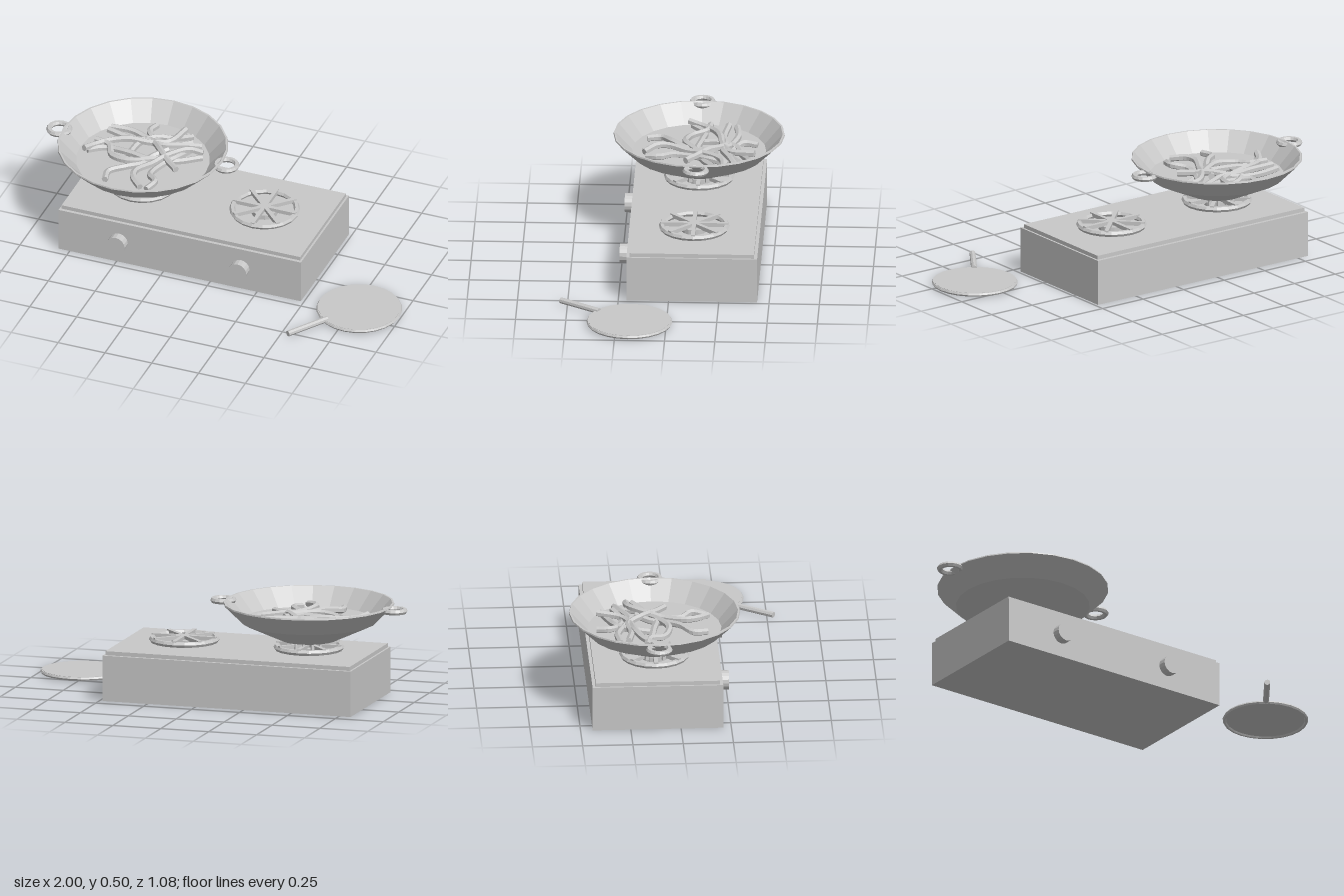
import * as THREE from 'three';

export function createModel() {
  const model = new THREE.Group();
  const grey = new THREE.MeshStandardMaterial({ color: 0xc8c8c8, flatShading: true });
  grey.name = 'plain grey';

  const add = (parent, name, geometry, x = 0, y = 0, z = 0) => {
    const mesh = new THREE.Mesh(geometry, grey);
    mesh.name = name;
    mesh.position.set(x, y, z);
    parent.add(mesh);
    return mesh;
  };
  const group = (name, x, y, z) => {
    const g = new THREE.Group();
    g.name = name;
    g.position.set(x, y, z);
    model.add(g);
    return g;
  };
  const flatTorus = (radius, tube, sides, segments) =>
    new THREE.TorusGeometry(radius, tube, sides, segments).rotateX(Math.PI / 2);

  const midZ = -0.115;
  const panX = -0.488;
  const burnerXs = [panX, 0.162];

  // Stove body and stepped top plate
  add(model, 'stoveBody', new THREE.BoxGeometry(1.294, 0.23, 0.65), -0.163, 0.115, midZ);
  add(model, 'topPlate', new THREE.BoxGeometry(1.274, 0.02, 0.617), -0.163, 0.24, midZ);

  // Burners with grates, and a knob for each
  for (const x of burnerXs) {
    const burner = group('burner', x, 0.25, midZ);
    add(burner, 'burnerBase', new THREE.CylinderGeometry(0.065, 0.065, 0.025, 16), 0, 0.0125, 0);
    add(burner, 'grateRing', flatTorus(0.161, 0.015, 6, 20), 0, 0.023, 0);
    for (let i = 0; i < 4; i++) {
      const bar = add(burner, 'grateBar', new THREE.BoxGeometry(0.335, 0.02, 0.02), 0, 0.032, 0);
      bar.rotation.y = (i * Math.PI) / 4;
    }
    const knob = new THREE.CylinderGeometry(0.048, 0.048, 0.045, 16).rotateX(Math.PI / 2);
    add(model, 'knob', knob, x, 0.12, 0.2315);
  }

  // Ring of small flames below the pan
  const flames = group('flames', panX, 0.29, midZ);
  for (let i = 0; i < 12; i++) {
    const a = (i * Math.PI) / 6;
    const flame = new THREE.CylinderGeometry(0.006, 0.012, 0.044, 6);
    add(flames, 'flame', flame, 0.085 * Math.cos(a), 0, 0.085 * Math.sin(a));
  }

  // Pan: outer wall, rim, inner wall and the flat cooking surface
  const pan = group('pan', panX, 0, midZ);
  const profile = [
    [0, 0.311], [0.14, 0.311], [0.333, 0.4], [0.426, 0.492], [0.424, 0.499],
    [0.415, 0.499], [0.333, 0.408], [0, 0.408],
  ].map(([r, y]) => new THREE.Vector2(r, y));
  add(pan, 'panBowl', new THREE.LatheGeometry(profile, 24));
  for (const side of [-1, 1]) {
    add(pan, 'panHandle', flatTorus(0.052, 0.014, 6, 16), side * 0.446, 0.483, 0);
  }

  // Strips of food: x, z pairs in hundredths, laid in crossing layers
  const strips = [
    [-4, -29, -5, -22, 2, -17, 11, -16, 19, -20],
    [-24, -18, -13, -19, -3, -16, 5, -12, 16, -16, 24, -19],
    [-29, 6, -26, 0, -20, -6, -11, -10, 0, -12, 8, -16, 12, -28],
    [-28, 4, -21, -2, -8, -1, 5, 1, 16, -3, 28, -10],
    [-10, 26, -11, 19, -4, 13, 2, 6, 4, -1, 10, -9],
    [9, 27, 3, 21, 2, 15, 7, 5, 11, -2, 20, -12, 27, -13],
    [12, 26, 14, 19, 9, 13, 11, 3, 16, -5, 20, -15],
    [-27, -5, -19, -3, -15, 4, -5, 7, 5, 2, 16, -6],
    [-24, -14, -11, -12, 0, -13, 8, -5, 14, 1, 20, 6],
    [17, -26, 8, -22, 0, -19, -6, -11, -8, 0],
  ];
  const food = group('food', panX, 0.416, midZ);
  strips.forEach((s, n) => {
    const path = [];
    for (let i = 0; i < s.length; i += 2) {
      const lift = (n % 3) * 0.008 + 0.006 * Math.sin(i + n);
      path.push(new THREE.Vector3(s[i] / 100, lift + 0.006, s[i + 1] / 100));
    }
    const curve = new THREE.CatmullRomCurve3(path);
    add(food, 'foodStrip', new THREE.TubeGeometry(curve, 24, 0.017, 6));
    // End caps
    for (const t of [0, 1]) {
      const cap = add(food, 'foodStripEnd', new THREE.CircleGeometry(0.017, 6));
      cap.position.copy(curve.getPoint(t));
      const out = curve.getTangent(t).multiplyScalar(t ? 1 : -1);
      cap.quaternion.setFromUnitVectors(new THREE.Vector3(0, 0, 1), out);
    }
  });

  // Lid lying beside the stove, with its angled handle
  const lid = group('lid', 0.785, 0, 0.183);
  add(lid, 'lidPlate', new THREE.CylinderGeometry(0.204, 0.204, 0.01, 24), 0, 0.017, 0);
  add(lid, 'lidRim', flatTorus(0.204, 0.0095, 6, 24), 0, 0.0125, 0);
  const from = new THREE.Vector3(-0.11, 0.02, 0.155);
  const to = new THREE.Vector3(-0.243, 0.02, 0.35);
  const handle = add(lid, 'lidHandle', new THREE.CylinderGeometry(0.015, 0.015, from.distanceTo(to), 8));
  handle.position.copy(from).lerp(to, 0.5);
  handle.quaternion.setFromUnitVectors(new THREE.Vector3(0, 1, 0), to.clone().sub(from).normalize());

  return model;
}
